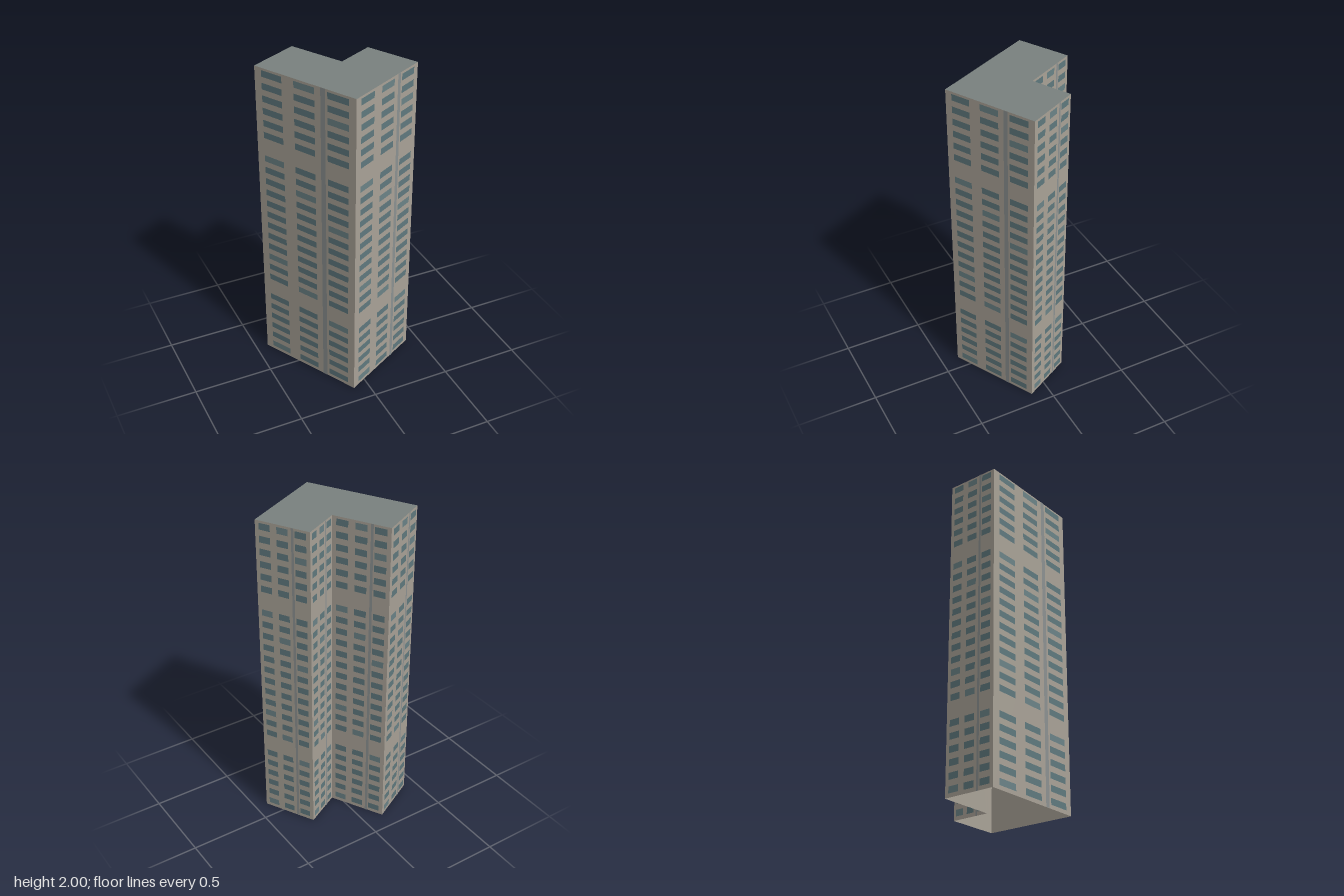
import * as THREE from 'three';
import { mergeGeometries } from 'three/addons/utils/BufferGeometryUtils.js';

const HEIGHT = 2, FLOORS = 26, BLANK_FLOORS = [6, 19];
const COLUMNS = [0.175, 0.5, 0.83];          // window centres along each wall
const WINDOW_WIDTH = 0.205, WINDOW_HEIGHT = 0.04, OFFSET = 0.002;

// L-shaped footprint as [x, z], each wall running left to right seen from outside
const FOOTPRINT = [
  [-0.424, -0.234], [-0.094, 0.389], [0.422, 0.114],
  [0.261, -0.19], [0.041, -0.074], [-0.129, -0.391],
];

const paint = (color) => new THREE.MeshStandardMaterial({ color });
const wallMaterial = paint(0xaaa398);
const roofMaterial = paint(0x7a827f);
wallMaterial.side = roofMaterial.side = THREE.DoubleSide;
const stripMaterial = paint(0x8d9292);
const glassMaterials = [paint(0x607a7f), paint(0x6c8488)];

function named(name, geometry, material) {
  const mesh = new THREE.Mesh(geometry, material);
  mesh.name = name;
  return mesh;
}

// Flat panel centred at (x, y), just proud of the wall
const panel = (w, h, x, y) => new THREE.PlaneGeometry(w, h).translate(x, y, OFFSET);

function createWall([x0, z0], [x1, z1], index) {
  const wall = new THREE.Group();
  wall.name = 'wall' + (index + 1);
  const length = Math.hypot(x1 - x0, z1 - z0);
  const along = (u) => (u - 0.5) * length;

  wall.add(named('wallFace', new THREE.PlaneGeometry(length, HEIGHT).translate(0, HEIGHT / 2, 0), wallMaterial));
  wall.add(named('verticalStrip', panel(0.045 * length, HEIGHT, along(0.683), HEIGHT / 2), stripMaterial));

  // Window grid, with a few lighter panes and two blank storeys
  const panes = [[], []];
  for (let floor = 0; floor < FLOORS; floor++) {
    if (BLANK_FLOORS.includes(floor)) continue;
    const y = ((floor + 0.5) * HEIGHT) / FLOORS + 0.005;
    COLUMNS.forEach((u, column) => {
      const tone = (floor * 7 + column * 5) % 9 === 0 ? 1 : 0;
      panes[tone].push(panel(WINDOW_WIDTH * length, WINDOW_HEIGHT, along(u), y));
    });
  }
  wall.add(named('windows', mergeGeometries(panes[0]), glassMaterials[0]));
  wall.add(named('lighterWindows', mergeGeometries(panes[1]), glassMaterials[1]));

  wall.position.set((x0 + x1) / 2, 0, (z0 + z1) / 2);
  wall.rotation.y = Math.atan2(z0 - z1, x1 - x0);
  return wall;
}

export function createModel() {
  const tower = new THREE.Group();
  tower.name = 'towerBlock';

  // Walls, open at the bottom
  FOOTPRINT.forEach((corner, i) => {
    tower.add(createWall(corner, FOOTPRINT[(i + 1) % FOOTPRINT.length], i));
  });

  // Flat roof
  const outline = new THREE.Shape(FOOTPRINT.map(([x, z]) => new THREE.Vector2(x, -z)));
  const roof = new THREE.ShapeGeometry(outline).rotateX(-Math.PI / 2).translate(0, HEIGHT, 0);
  tower.add(named('roof', roof, roofMaterial));

  return tower;
}
